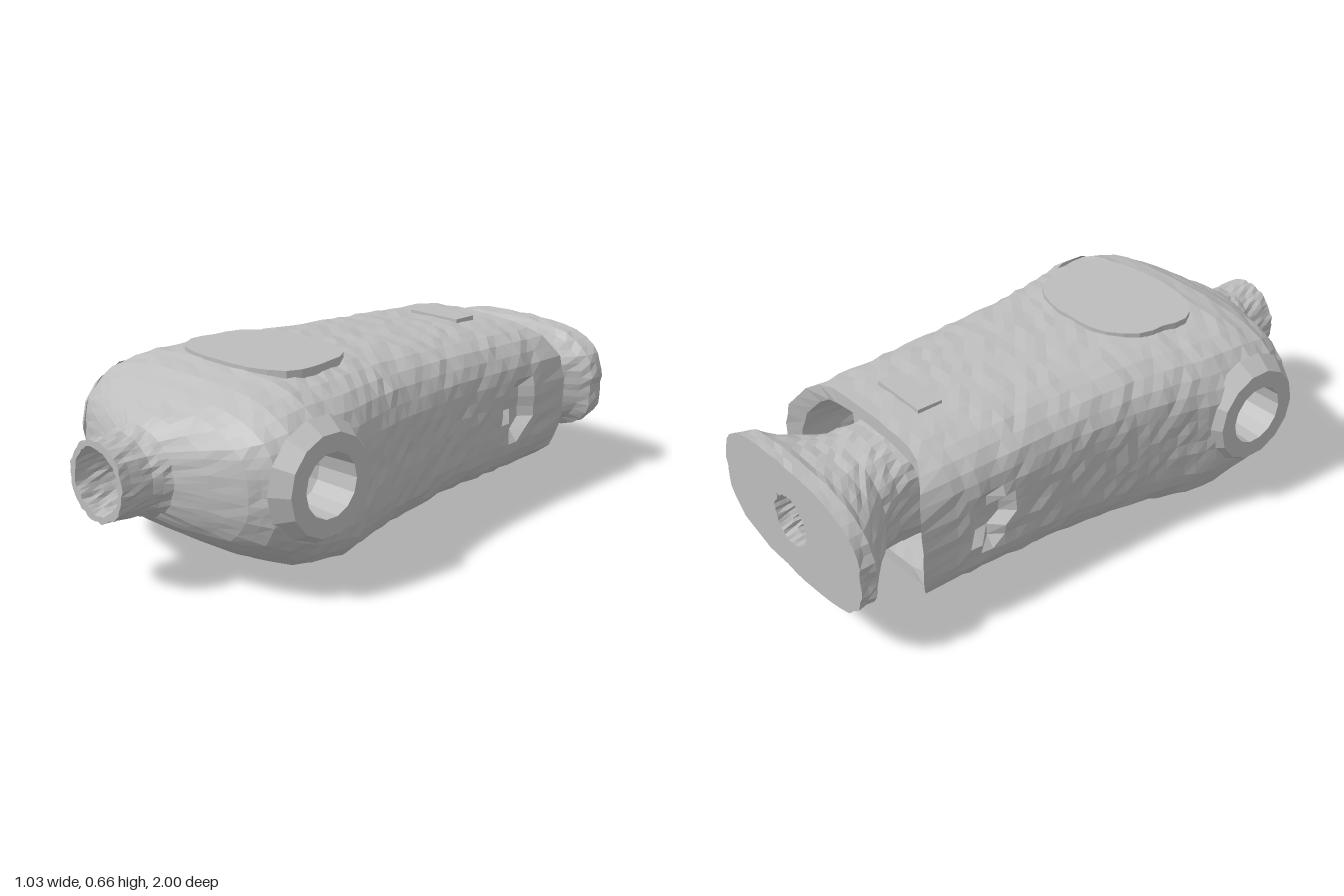
import * as THREE from 'three';

const SEGS = 48;

// Repeatable noise in -1..1
function noise(i, j) {
  const s = Math.sin(i * 127.1 + j * 311.7) * 43758.5453;
  return (s - Math.floor(s)) * 2 - 1;
}

// Skin through rounded sections [z, halfWidth, yBottom, yTop, squareness], in path order.
// rule(p) may move a point; skip(p) leaves a gap where it returns true.
function loft(sections, { step = 0.045, rough = 0.005, rule, skip } = {}) {
  const rings = [];
  sections.forEach((s, k) => {
    if (k === 0) return rings.push(s);
    const prev = sections[k - 1];
    const n = Math.max(1, Math.ceil(Math.abs(s[0] - prev[0]) / step));
    for (let m = 1; m <= n; m++) rings.push(s.map((v, c) => prev[c] + (v - prev[c]) * m / n));
  });
  const points = [];
  rings.forEach(([z, a, y0, y1, n], i) => {
    for (let j = 0; j < SEGS; j++) {
      const t = (j / SEGS) * Math.PI * 2, c = Math.cos(t), s = Math.sin(t);
      const r = (Math.abs(c) ** n + Math.abs(s) ** n) ** (-1 / n);
      const k = a > 0.02 ? r * (1 + rough * noise(i, j) / a) : r;
      const p = new THREE.Vector3(a * c * k, (y0 + y1) / 2 + (y1 - y0) / 2 * s * k, z);
      if (rule) rule(p);
      points.push(p);
    }
  });
  const index = [];
  for (let i = 0; i < rings.length - 1; i++) {
    for (let j = 0; j < SEGS; j++) {
      const a = i * SEGS + j, b = i * SEGS + (j + 1) % SEGS, c = a + SEGS, d = b + SEGS;
      const mid = points[a].clone().add(points[b]).add(points[c]).add(points[d]).multiplyScalar(0.25);
      if (skip && skip(mid)) continue;
      index.push(a, b, c, b, d, c);
    }
  }
  const g = new THREE.BufferGeometry().setFromPoints(points);
  g.setIndex(index);
  g.computeVertexNormals();
  return g;
}

export function createModel() {
  const group = new THREE.Group();
  const grey = new THREE.MeshStandardMaterial({ color: 0xbdbdbd, flatShading: true, side: THREE.DoubleSide });
  const add = (name, geometry) => {
    const mesh = new THREE.Mesh(geometry, grey);
    mesh.name = name;
    group.add(mesh);
    return mesh;
  };

  // Body: rear socket, outer shell, front spout and its bore in one skin
  const body = loft([
    [-0.56, 0, 0.345, 0.345, 3],
    [-0.56, 0.32, 0.13, 0.56, 3],
    [-0.69, 0.34, 0.12, 0.57, 3.2],
    [-0.69, 0.385, 0.075, 0.615, 3.4],
    [-0.2, 0.4, 0.06, 0.635, 3.4],
    [0.1, 0.43, 0.035, 0.647, 3.4],
    [0.25, 0.46, 0.015, 0.65, 3.4],
    [0.36, 0.49, 0.005, 0.65, 3.4],
    [0.53, 0.505, 0.035, 0.648, 3.3],
    [0.63, 0.5, 0.085, 0.625, 3.2],
    [0.7, 0.47, 0.125, 0.59, 3],
    [0.75, 0.4, 0.155, 0.56, 2.8],
    [0.8, 0.28, 0.19, 0.535, 2.4],
    [0.84, 0.17, 0.22, 0.51, 2],
    [0.89, 0.135, 0.238, 0.497, 2],
    [1.0, 0.13, 0.238, 0.497, 2],
    [1.0, 0.108, 0.262, 0.474, 2],
    [0.72, 0.1, 0.27, 0.466, 2],
    [0.66, 0, 0.368, 0.368, 2],
  ], {
    rule: (p) => {
      // Rear side walls reach further back than the top and bottom
      if (p.z < -0.66) {
        const u = Math.min(1, Math.max(0, (Math.abs(p.x) - 0.24) / 0.14));
        p.z -= 0.085 * u ** 1.4;
      }
      // Shallow dimples low on the rear flanks
      const d = ((p.z + 0.52) / 0.06) ** 2 + ((p.y - 0.36) / 0.09) ** 2;
      if (d < 1 && Math.abs(p.x) > 0.36) p.x *= 0.9;
    },
    skip: (p) => Math.abs(p.x) > 0.4 && Math.hypot(p.y - 0.367, p.z - 0.52) < 0.145,
  });
  add('body', body);

  // Round bosses with blind holes on both sides
  const bossProfile = [[0.205, 0.455], [0.165, 0.515], [0.105, 0.515], [0.098, 0.36], [0.06, 0.32], [0, 0.31]]
    .map(([r, h]) => new THREE.Vector2(r, h));
  for (const side of [1, -1]) {
    const boss = add(side > 0 ? 'leftBoss' : 'rightBoss', new THREE.LatheGeometry(bossProfile, 14));
    boss.rotation.z = -side * Math.PI / 2;
    boss.position.set(0, 0.367, 0.52);
  }

  // Rear connector: bored end plate flaring from a narrow waist
  add('rearConnector', loft([
    [-0.74, 0, 0.35, 0.35, 2],
    [-0.74, 0.085, 0.265, 0.435, 2],
    [-1.0, 0.09, 0.26, 0.44, 2],
    [-1.0, 0.39, 0.147, 0.555, 2.9],
    [-0.945, 0.388, 0.15, 0.552, 2.9],
    [-0.92, 0.355, 0.165, 0.54, 2.8],
    [-0.85, 0.28, 0.18, 0.53, 2.6],
    [-0.79, 0.215, 0.18, 0.53, 2.6],
    [-0.72, 0.19, 0.17, 0.535, 2.6],
    [-0.55, 0.19, 0.15, 0.545, 2.6],
  ], { rough: 0.007 }));

  // Raised pad on the top
  const padOutline = [];
  for (let i = 0; i < 28; i++) {
    const t = (i / 28) * Math.PI * 2, c = Math.cos(t), s = Math.sin(t);
    const r = (Math.abs(c) ** 3 + Math.abs(s) ** 3) ** (-1 / 3) * (1 + 0.02 * noise(i, 3));
    padOutline.push(new THREE.Vector2((0.26 - 0.03 * s) * c * r + 0.02, 0.2 * s * r));
  }
  const pad = add('topPad', new THREE.ExtrudeGeometry(new THREE.Shape(padOutline), {
    depth: 0.03, bevelEnabled: false,
  }));
  pad.rotation.x = -Math.PI / 2;
  pad.position.set(0, 0.63, 0.33);

  // Small raised tab near the rear
  const tab = add('rearTab', new THREE.BoxGeometry(0.22, 0.03, 0.09));
  tab.position.set(0.01, 0.617, -0.53);

  return group;
}
